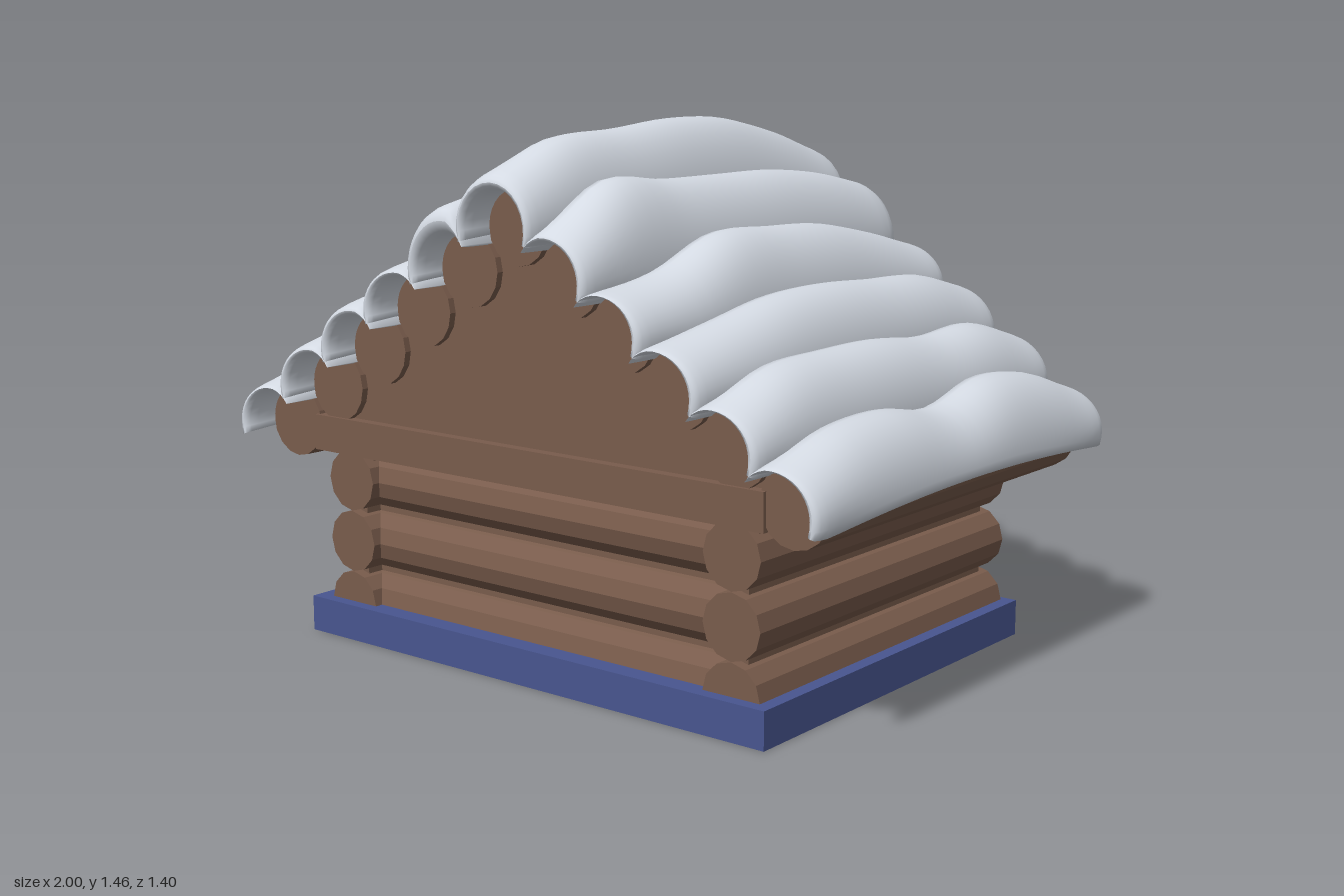
import * as THREE from 'three';

const mat = (name, color, flat = false) => {
  const m = new THREE.MeshStandardMaterial({ color, flatShading: flat });
  m.name = name;
  return m;
};
const wood = mat('brown wood', 0x795c4c, true);
const snowMat = mat('snow', 0xd4dae3);
const blue = mat('blue', 0x48558f);
const navy = mat('dark navy', 0x22264a);
const red = mat('red', 0xc03529);
const amber = mat('amber', 0xb8743a);
const brass = mat('brass', 0xc97a35);
const glint = mat('pale grey', 0xc4c6ca);

const STEP_X = 0.172, STEP_Y = 0.12, RIDGE_Y = 1.2;

export function createModel() {
  const root = new THREE.Group();

  const add = (name, geo, material, x = 0, y = 0, z = 0) => {
    const m = new THREE.Mesh(geo, material);
    m.name = name;
    m.position.set(x, y, z);
    root.add(m);
    return m;
  };
  // box given by its limits
  const box = (name, material, x0, x1, y0, y1, z0, z1) =>
    add(name, new THREE.BoxGeometry(x1 - x0, y1 - y0, z1 - z0), material,
      (x0 + x1) / 2, (y0 + y1) / 2, (z0 + z1) / 2);
  const shapeOf = pts => new THREE.Shape(pts.map(p => new THREE.Vector2(...p)));
  const plate = (name, material, shape, z0, depth) =>
    add(name, new THREE.ExtrudeGeometry(shape, { depth, bevelEnabled: false }), material, 0, 0, z0);
  const logZ = (name, x, y, r, len, sides) => {
    add(name, new THREE.CylinderGeometry(r, r, len, sides), wood, x, y, 0).rotation.x = Math.PI / 2;
  };
  const logX = (name, x0, x1, y, z) => {
    add(name, new THREE.CylinderGeometry(0.087, 0.087, x1 - x0, 12), wood, (x0 + x1) / 2, y, z).rotation.z = Math.PI / 2;
  };

  // base: a frame open at the doorway and in the middle
  const base = shapeOf([[-0.8, -0.615], [0.79, -0.615], [0.79, 0.6], [0.47, 0.6], [0.47, 0.3], [0.5, 0.3],
    [0.5, -0.37], [-0.59, -0.37], [-0.59, 0.3], [0.13, 0.3], [0.13, 0.6], [-0.8, 0.6]]);
  plate('base', blue, base, 0, 0.1).rotation.x = -Math.PI / 2;

  // floor with patterned tiles on its underside
  box('floor', navy, -0.6, 0.51, 0.012, 0.02, -0.45, 0.38);
  const cw = 0.27, cd = 0.167;
  const tile = (x, z, a, b, s) => {
    box('floorTile', amber, x - a, x + a, 0.006, 0.012, z - b, z + b);
    const wedge = shapeOf([[-a, -b * s], [a, -b * s], [a, -b * s * 0.4], [a * 0.5, 0], [-a * 0.2, b * 0.2 * s], [-a, b * 0.8 * s]]);
    const m = plate('tilePattern', red, wedge, 0, 0.004);
    m.rotation.x = Math.PI / 2;
    m.position.set(x, 0.007, z);
  };
  for (let i = 0; i < 4; i++) for (let j = 0; j < 4; j++) {
    tile(-0.585 + cw * (i + 0.5), -0.3 + cd * (j + 0.5), cw / 2 - 0.02, cd / 2 - 0.017, (i + j) % 2 ? 1 : -1);
  }
  tile(0.3, -0.375, 0.15, 0.06, 1);

  // log walls
  for (const y of [0.1, 0.275, 0.45]) {
    for (const s of [-1, 1]) logZ('sideLog', s * 0.665, y, 0.087, 1.16, 12);
    logX('frontLog', -0.65, 0.65, y, 0.47);
    for (const [x0, x1] of [[0.485, 0.65], [-0.07, 0.105], [-0.65, -0.52]]) logX('backLog', x0, x1, y, -0.47);
  }
  // chinking between logs, wall plates and cross beams
  box('frontChinking', wood, -0.65, 0.65, 0.1, 0.54, 0.44, 0.5);
  for (const s of [-1, 1]) {
    box('sideChinking', wood, s * 0.665 - 0.03, s * 0.665 + 0.03, 0.1, 0.54, -0.55, 0.55);
    box('wallPlate', wood, s * 0.665 - 0.06, s * 0.665 + 0.06, 0.5, 0.66, -0.55, 0.55);
    const z = s > 0 ? 0.55 : -0.545;
    box('crossBeam', wood, -0.775, 0.78, 0.53, 0.63, z - 0.06, z + 0.06);
  }

  // gables
  const gable = shapeOf([[-0.85, 0.62], [0.85, 0.62], [0, 1.23]]);
  plate('frontGable', wood, gable, 0.53, 0.05);
  plate('backGable', wood, gable, -0.5, 0.05);

  // door and knob
  box('door', wood, 0.1, 0.49, 0.012, 0.54, -0.46, -0.42);
  add('doorKnob', new THREE.SphereGeometry(0.041, 20, 14), brass, 0.395, 0.26, -0.495);

  // ground floor window
  const frame = shapeOf([[-0.53, 0.1], [-0.06, 0.1], [-0.06, 0.54], [-0.53, 0.54]]);
  frame.holes.push(new THREE.Path([[-0.45, 0.17], [-0.45, 0.47], [-0.13, 0.47], [-0.13, 0.17]]
    .map(p => new THREE.Vector2(...p))));
  plate('windowFrame', wood, frame, -0.55, 0.12);
  box('windowGlass', blue, -0.46, -0.12, 0.16, 0.48, -0.515, -0.507);
  // zigzag reflection, drawn in the unit square of a window
  const streak = [[0, 0.02], [0.3, 0.22], [0.42, 0.2], [0.62, 0.43], [0.72, 0.42], [1, 0.68],
    [1, 0.77], [0.7, 0.51], [0.6, 0.53], [0.38, 0.3], [0.27, 0.32], [0, 0.1]];
  const reflect = (x0, x1, y0, y1, z) =>
    plate('glassReflection', glint, shapeOf(streak.map(([u, v]) => [x1 + (x0 - x1) * u, y0 + (y1 - y0) * v])), z, 0.004);
  reflect(-0.45, -0.13, 0.17, 0.47, -0.518);

  // attic windows with studs and rail
  box('atticGlass', blue, 0.13, 0.4, 0.63, 0.84, -0.508, -0.5);
  reflect(0.155, 0.39, 0.64, 0.83, -0.511);
  box('atticGlassLit', amber, -0.43, -0.18, 0.63, 0.84, -0.508, -0.5);
  plate('litPattern', red, shapeOf([[-0.42, 0.84], [-0.42, 0.77], [-0.36, 0.8], [-0.28, 0.75], [-0.2, 0.74], [-0.2, 0.84]]), -0.511, 0.004);
  plate('litPattern', red, shapeOf([[-0.42, 0.63], [-0.28, 0.63], [-0.32, 0.69], [-0.37, 0.69], [-0.42, 0.73]]), -0.511, 0.004);
  for (const [x, top] of [[0.11, 1.02], [0.43, 0.85], [-0.16, 1.02], [-0.46, 0.85]]) {
    box('atticStud', wood, x - 0.04, x + 0.04, 0.62, top, -0.55, -0.49);
  }
  box('atticRail', wood, -0.42, 0.42, 0.835, 0.9, -0.54, -0.49);

  // roof logs
  for (let i = -5; i <= 5; i++) {
    const k = Math.abs(i);
    logZ('roofLog', i * STEP_X, RIDGE_Y - k * STEP_Y, 0.1, 1.2, 16);
  }

  // snow: one thick curved strip over each roof log; crest heights run from back to front
  const crests = [
    [0.14, 0.205, 0.25, 0.255, 0.235, 0.22, 0.14],
    [0.17, 0.21, 0.23, 0.23, 0.23, 0.24, 0.125],
    [0.12, 0.17, 0.21, 0.22, 0.22, 0.14, 0.11],
    [0.13, 0.18, 0.19, 0.20, 0.19, 0.15, 0.115],
    [0.125, 0.18, 0.17, 0.19, 0.19, 0.18, 0.115],
    [0.115, 0.18, 0.20, 0.15, 0.18, 0.17, 0.115],
  ];
  const snowStrip = (crest, width, ridge) => {
    const curve = new THREE.SplineCurve(crest.map((h, i) => new THREE.Vector2(-0.7 + 1.4 * i / 6, h)));
    const ends = [[0.7, 0], [0.697, 0.4], [0.685, 0.72], [0.66, 0.95]];
    const stations = ends.map(([z, f]) => [-z, f]);
    for (let i = 0; i <= 24; i++) stations.push([-0.62 + 1.24 * i / 24, 1]);
    stations.push(...ends.slice().reverse());
    const n = 16, ring = 2 * (n + 1), pos = [], idx = [];
    for (const [z, f] of stations) {
      const h = curve.getPoint((z + 0.7) / 1.4).y;
      // the lip droops towards both ends
      const a0 = -0.06 - 0.5 * z * z, a1 = ridge ? Math.PI - a0 : 2.35;
      for (let k = 0; k < ring; k++) {
        const outer = k <= n;
        const t = (outer ? k : ring - 1 - k) / n, a = a0 + (a1 - a0) * t;
        const c = Math.cos(a), s = Math.sin(a);
        const ox = width * c, oy = (s > 0 ? h : width) * s, ix = 0.098 * c, iy = 0.098 * s;
        // skins meet at the rounded ends; slope strips taper where they tuck under the next one
        const taper = ridge ? 1 : Math.min(1, 0.1 + (1 - t) / 0.28);
        const w = (outer ? 0.5 + f / 2 : 0.5 - f / 2) * taper;
        pos.push(ix + (ox - ix) * w, iy + (oy - iy) * w, z);
      }
    }
    for (let j = 0; j < stations.length - 1; j++) for (let k = 0; k < ring; k++) {
      const a = j * ring + k, b = j * ring + (k + 1) % ring;
      idx.push(a, b, a + ring, b, b + ring, a + ring);
    }
    const g = new THREE.BufferGeometry();
    g.setAttribute('position', new THREE.Float32BufferAttribute(pos, 3));
    g.setIndex(idx);
    g.computeVertexNormals();
    return g;
  };
  add('ridgeSnow', snowStrip(crests[0], 0.132, true), snowMat, 0, RIDGE_Y, 0);
  for (let i = 1; i <= 5; i++) {
    const g = snowStrip(crests[i], 0.14, false);
    for (const s of [-1, 1]) {
      const m = add('roofSnow', g, snowMat, s * i * STEP_X, RIDGE_Y - i * STEP_Y, 0);
      if (s < 0) m.rotation.y = Math.PI;
    }
  }
  return root;
}
